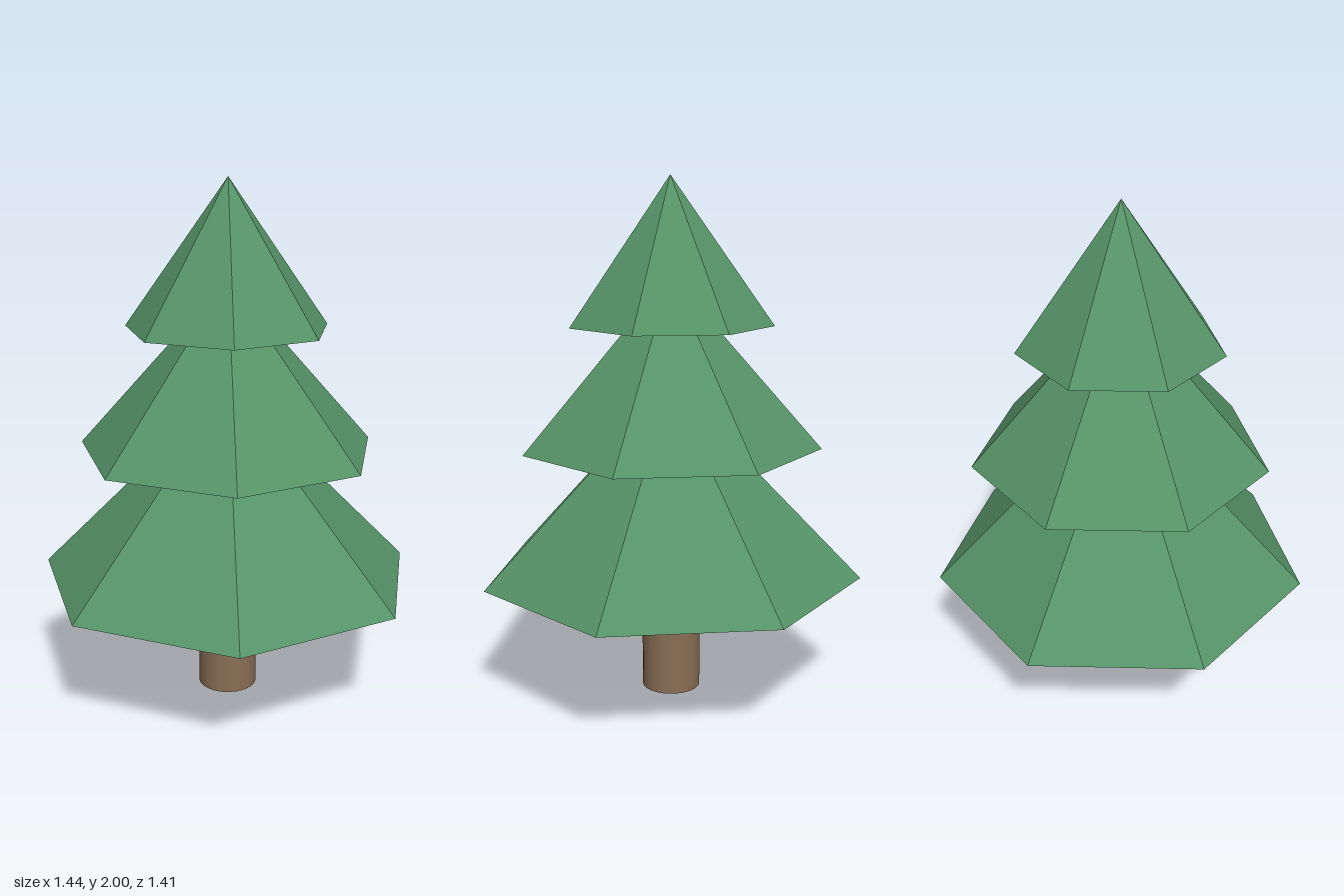
import * as THREE from 'three';

const needleGreen = new THREE.MeshStandardMaterial({ color: 0x569367, flatShading: true });
needleGreen.name = 'needle green';
const barkBrown = new THREE.MeshStandardMaterial({ color: 0x8b6f56 });
barkBrown.name = 'bark brown';

const AXIS_Z = 0.036; // a seven-sided crown is off-centre about its own axis

function addPart(group, name, geometry, material, baseY, height) {
  const mesh = new THREE.Mesh(geometry, material);
  mesh.name = name;
  mesh.position.set(0, baseY + height / 2, AXIS_Z);
  group.add(mesh);
}

export function createModel() {
  const tree = new THREE.Group();
  tree.name = 'pineTree';

  // Smooth round trunk, just reaching into the lowest tier
  const trunkHeight = 0.5;
  addPart(tree, 'trunk', new THREE.CylinderGeometry(0.114, 0.114, trunkHeight, 32), barkBrown, 0, trunkHeight);

  // Three closed, overlapping seven-sided tiers with one corner pointing back
  const tiers = [
    { name: 'lowerFoliage', radius: 0.741, baseY: 0.47, height: 0.755 },
    { name: 'middleFoliage', radius: 0.58, baseY: 0.98, height: 0.655 },
    { name: 'upperFoliage', radius: 0.394, baseY: 1.446, height: 0.554 },
  ];
  for (const { name, radius, baseY, height } of tiers) {
    const cone = new THREE.ConeGeometry(radius, height, 7, 1, false, Math.PI);
    addPart(tree, name, cone, needleGreen, baseY, height);
  }

  return tree;
}
